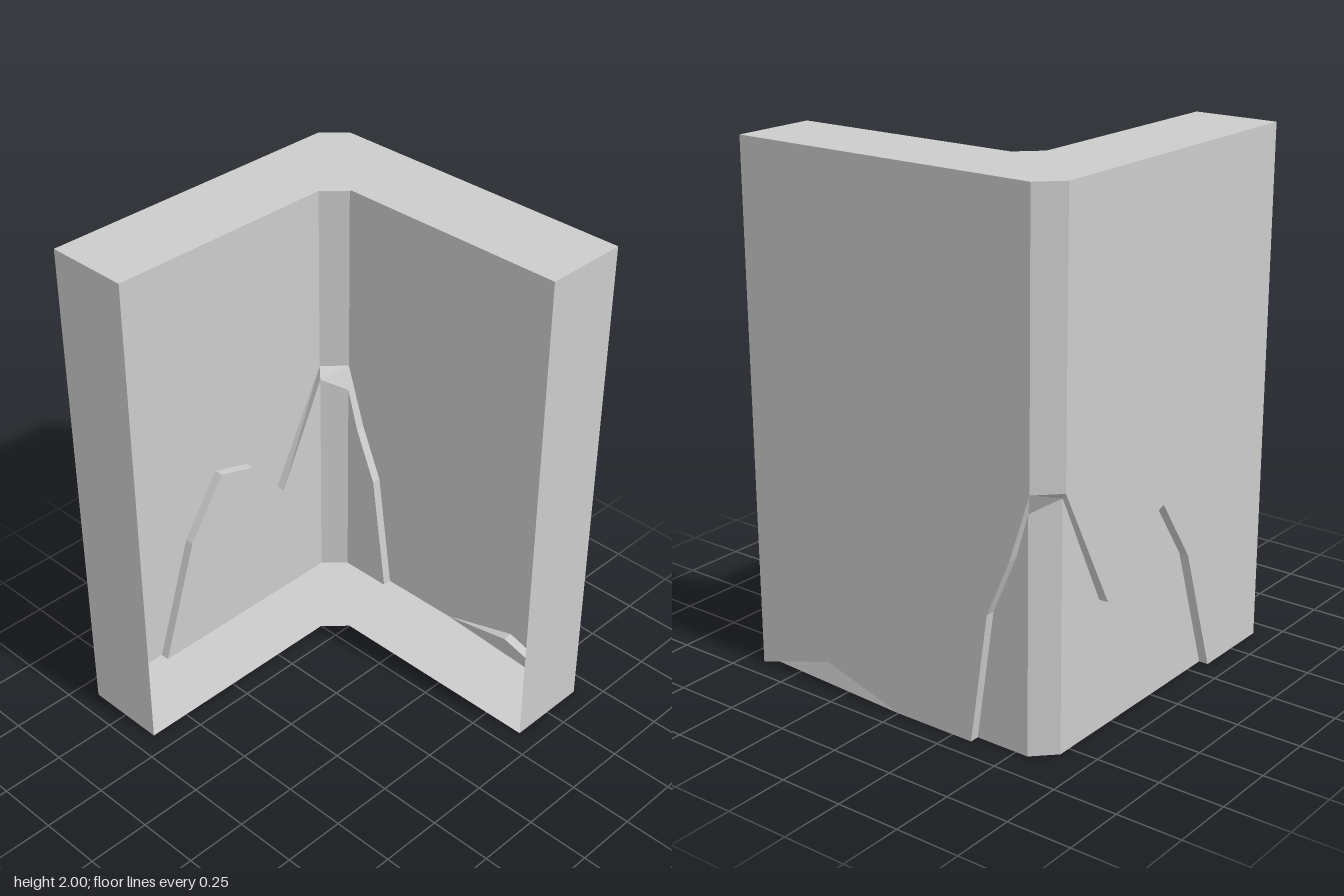
import * as THREE from 'three';

const H = 2, O = 0.667, C = 0.583, I = 0.333; // height, outer wall, chamfer start, inner wall
const R = 0.63, RC = 0.55;                    // recessed wall and recessed chamfer start

const material = new THREE.MeshStandardMaterial({
  color: 0xcccccc, side: THREE.DoubleSide, flatShading: true,
});

function meshFrom(name, triangles) {
  const geometry = new THREE.BufferGeometry();
  geometry.setAttribute('position', new THREE.Float32BufferAttribute(triangles.flat(), 3));
  geometry.computeVertexNormals();
  const mesh = new THREE.Mesh(geometry, material);
  mesh.name = name;
  return mesh;
}

// Flat polygon through a ring of 3D corners, turned to face the outward direction
function face(name, ring, outward) {
  const normal = new THREE.Vector3(...outward).normalize();
  const helper = Math.abs(normal.y) > 0.9 ? new THREE.Vector3(0, 0, -1) : new THREE.Vector3(0, 1, 0);
  const u = helper.clone().cross(normal).normalize();
  const v = normal.clone().cross(u);
  let corners = ring;
  const flatten = (list) => list.map((p) => {
    const q = new THREE.Vector3(...p);
    return new THREE.Vector2(q.dot(u), q.dot(v));
  });
  if (THREE.ShapeUtils.isClockWise(flatten(corners))) corners = [...ring].reverse();
  const indices = THREE.ShapeUtils.triangulateShape(flatten(corners), []).flat();
  return meshFrom(name, indices.map((i) => corners[i]));
}

// Narrow band joining two polylines of equal length
function band(name, a, b) {
  const tris = [];
  for (let i = 0; i < a.length - 1; i++) {
    tris.push(a[i], b[i], a[i + 1], a[i + 1], b[i], b[i + 1]);
  }
  return meshFrom(name, tris);
}

export function createModel() {
  const group = new THREE.Group();
  group.name = 'chippedCornerWall';

  // Chip outlines on the back (x, y) and the side (z, y)
  const backLine = [[-0.333, 0], [-0.17, 0.5], [0, 0.75], [0.165, 0.7], [0.333, 0.5]];
  const sideLine = [[-0.333, 0], [-0.405, 0.5], [-0.5, 0.72]];
  const backOuter = [...backLine.map(([x, y]) => [x, y, -O]), [C, 0.975, -O]];
  const backInner = [...backLine.map(([x, y]) => [x, y, -R]), [RC, 0.94, -R]];
  const sideOuter = [...sideLine.map(([z, y]) => [O, y, z]), [O, 0.975, -C]];
  const sideInner = [...sideLine.map(([z, y]) => [R, y, z]), [R, 0.89, -RC]];

  // Small chip along the foot of the side wall
  const footOuter = [[O, 0, O], [O, 0.1, I], [O, 0, 0]];
  const footInner = [[R, 0, O], [R, 0.095, I], [O, 0, 0]];

  // Outer walls
  group.add(
    face('backWall', [[-O, 0, -O], ...backOuter, [C, H, -O], [-O, H, -O]], [0, 0, -1]),
    face('sideWall', [...footOuter, ...sideOuter, [O, H, -C], [O, H, O]], [1, 0, 0]),
    face('cornerChamfer', [[C, 0.975, -O], [O, 0.975, -C], [O, H, -C], [C, H, -O]], [1, 0, -1]),
    face('sideLegEnd', [[I, 0, O], [O, 0, O], [O, H, O], [I, H, O]], [0, 0, 1]),
    face('backLegEnd', [[-O, 0, -O], [-O, 0, -I], [-O, H, -I], [-O, H, -O]], [-1, 0, 0]),
  );

  // Chipped corner
  group.add(
    face('backRecess', [...backInner, [RC, 0, -R]], [0, 0, -1]),
    face('sideRecess', [...sideInner, [R, 0, -RC]], [1, 0, 0]),
    face('recessChamfer', [[RC, 0, -R], [R, 0, -RC], sideInner.at(-1), backInner.at(-1)], [1, 0, -1]),
    band('backRecessRim', backOuter, backInner),
    band('sideRecessRim', sideInner, sideOuter),
    band('cornerRecessRim', [backOuter.at(-1), sideOuter.at(-1)], [backInner.at(-1), sideInner.at(-1)]),
  );

  // Chipped foot
  group.add(
    face('footRecess', footInner, [1, 0, 0]),
    band('footRecessRim', footOuter, footInner),
  );

  // Top and bottom caps, the inner side of the wall stays open
  const inside = [[I, O], [I, -0.25], [0.25, -I], [-O, -I]];
  const top = [[-O, -O], [C, -O], [O, -C], [O, O], ...inside];
  const bottom = [
    [-O, -O], [-I, -O], [-I, -R], [RC, -R], [R, -RC], [R, -I], [O, -I], [O, 0], [R, O], ...inside,
  ];
  group.add(
    face('topCap', top.map(([x, z]) => [x, H, z]), [0, 1, 0]),
    face('bottomCap', bottom.map(([x, z]) => [x, 0, z]), [0, -1, 0]),
  );
  return group;
}
